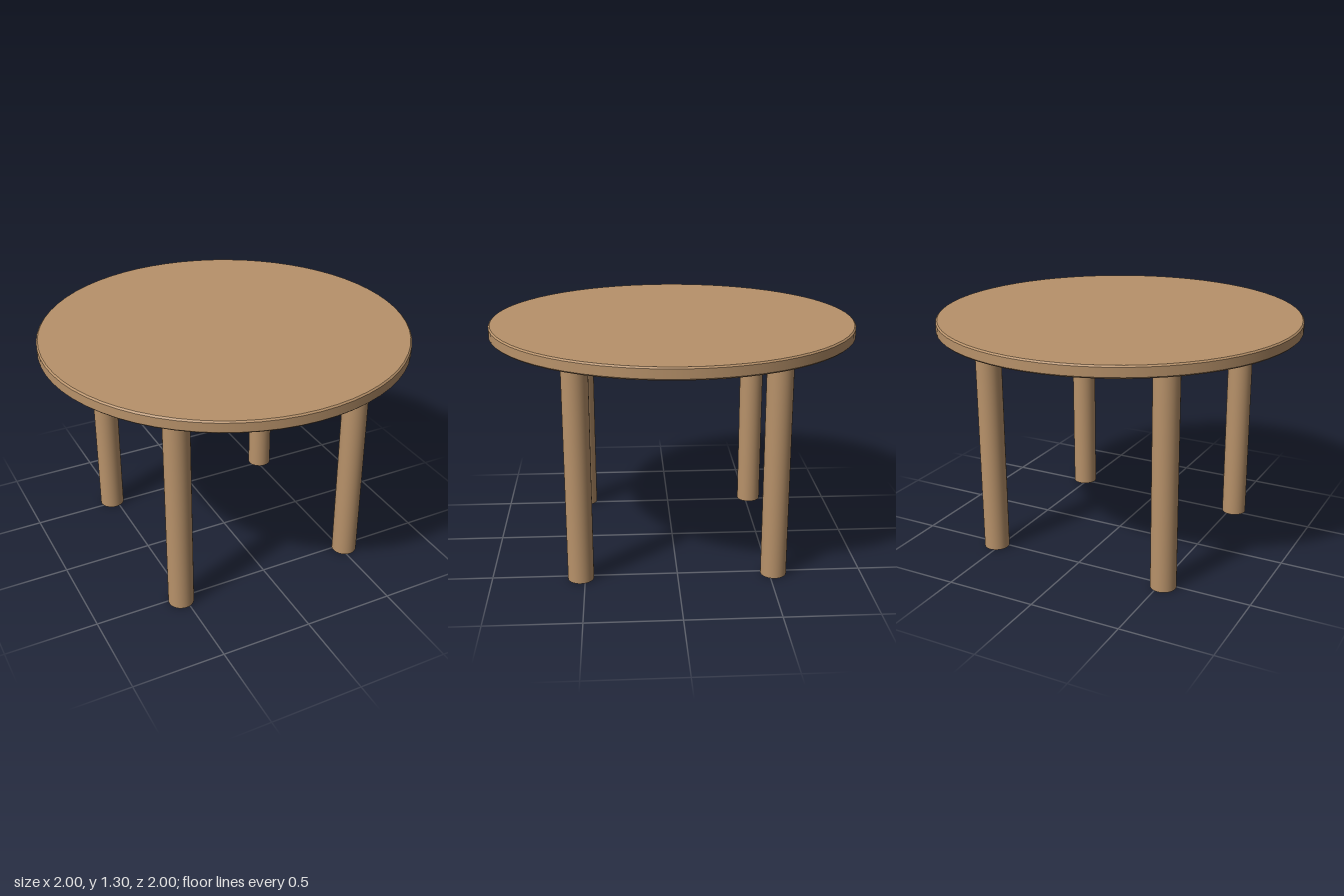
import * as THREE from 'three';

const LEG_HEIGHT = 1.24, LEG_RADIUS = 0.07, LEG_OFFSET = 0.523;
const TOP_HEIGHT = 1.305, TOP_RADIUS = 1, BEVEL = 0.008;

// Round tabletop: a turned disc with softly eased rims; doubled points keep the faces flat.
function createTabletop(material) {
  const inner = TOP_RADIUS - BEVEL;
  const profile = [
    [0, LEG_HEIGHT], [inner, LEG_HEIGHT], [inner, LEG_HEIGHT],
    [TOP_RADIUS, LEG_HEIGHT + BEVEL], [TOP_RADIUS, LEG_HEIGHT + BEVEL],
    [TOP_RADIUS, TOP_HEIGHT - BEVEL], [TOP_RADIUS, TOP_HEIGHT - BEVEL],
    [inner, TOP_HEIGHT], [inner, TOP_HEIGHT], [0, TOP_HEIGHT],
  ].map(([x, y]) => new THREE.Vector2(x, y));
  const top = new THREE.Mesh(new THREE.LatheGeometry(profile, 64), material);
  top.name = 'tabletop';
  return top;
}

export function createModel() {
  const table = new THREE.Group();
  table.name = 'roundTable';
  const wood = new THREE.MeshStandardMaterial({ color: 0xb8926a });
  wood.name = 'light oak wood';

  table.add(createTabletop(wood));

  // Four straight cylindrical legs
  const legGeometry = new THREE.CylinderGeometry(LEG_RADIUS, LEG_RADIUS, LEG_HEIGHT, 32);
  for (const [zName, z] of [['front', 1], ['back', -1]]) {
    for (const [xName, x] of [['Left', 1], ['Right', -1]]) {
      const leg = new THREE.Mesh(legGeometry, wood);
      leg.name = `${zName}${xName}Leg`;
      leg.position.set(x * LEG_OFFSET, LEG_HEIGHT / 2, z * LEG_OFFSET);
      table.add(leg);
    }
  }
  return table;
}
